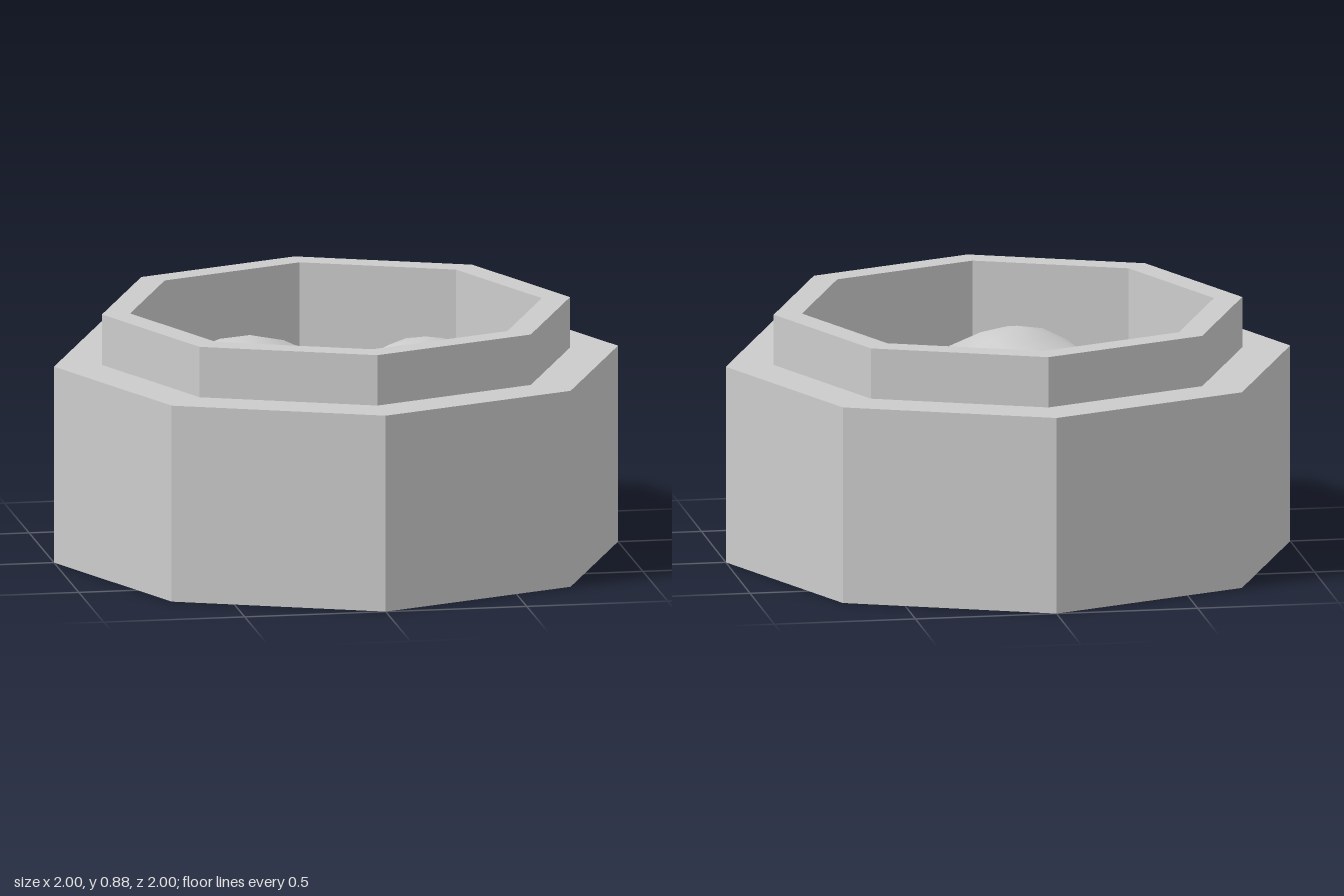
import * as THREE from 'three';
import { toCreasedNormals } from 'three/addons/utils/BufferGeometryUtils.js';

// Revolve a [radius, height] profile (bottom to top) into a faceted solid
function revolve(profile, sides) {
  return new THREE.LatheGeometry(profile.map(([r, y]) => new THREE.Vector2(r, y)), sides);
}

export function createModel() {
  const model = new THREE.Group();
  model.name = 'octagonalPot';

  // Octagonal pot: thick body, stepped-in rim and hollow inside
  const potProfile = [
    [0, 0], [1, 0], [1, 0.7], [0.83, 0.7],
    [0.83, 0.88], [0.73, 0.88], [0.73, 0.33], [0, 0.33],
  ];
  const pot = new THREE.Mesh(
    revolve(potProfile, 8),
    new THREE.MeshStandardMaterial({ color: 0xcccccc, flatShading: true })
  );
  pot.name = 'pot';
  model.add(pot);

  // Six-sided lumps lying on the pot floor, with softly domed tops
  const lumpProfile = [
    [0, 0], [0.243, 0], [0.31, 0.155], [0.243, 0.315], [0.13, 0.37], [0, 0.4],
  ];
  const lumpGeometry = toCreasedNormals(revolve(lumpProfile, 6), 0.62);
  const lumpMaterial = new THREE.MeshStandardMaterial({ color: 0xcccccc });
  const lumps = [
    ['backRightLump', -0.26, -0.26, 44.6],
    ['leftLump', 0.34, -0.13, 22],
    ['frontLump', -0.09, 0.34, 6.5],
  ];
  for (const [name, x, z, turn] of lumps) {
    const lump = new THREE.Mesh(lumpGeometry, lumpMaterial);
    lump.name = name;
    lump.position.set(x, 0.33, z);
    lump.rotation.y = THREE.MathUtils.degToRad(turn);
    model.add(lump);
  }
  return model;
}
